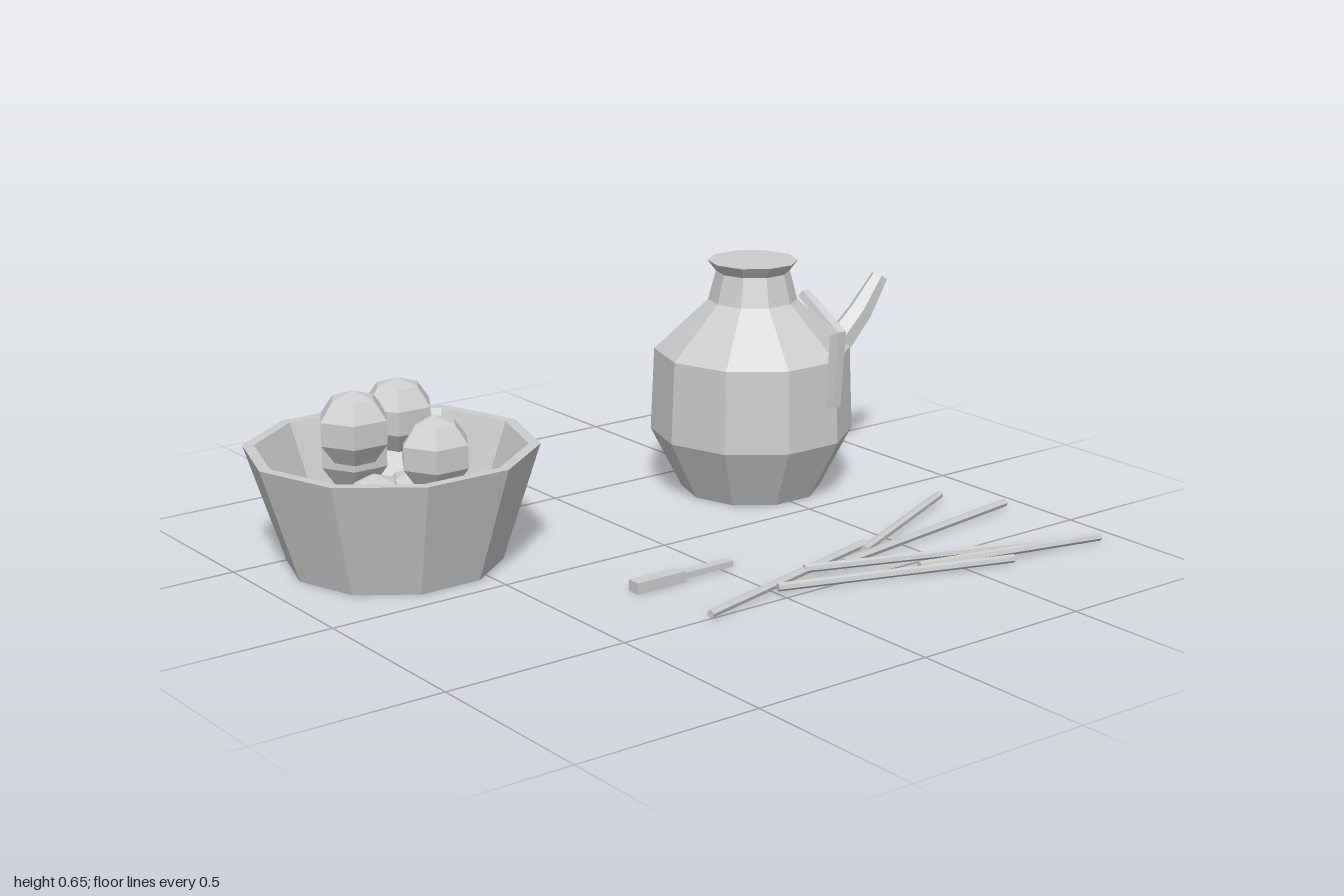
import * as THREE from 'three';

const stone = new THREE.MeshStandardMaterial({ color: 0xcccccc, flatShading: true });
stone.name = 'plain grey';

const vec = (p) => new THREE.Vector3(...p);

// Ten-sided turned shape with a corner on the x axis
function turned(profile) {
  return new THREE.LatheGeometry(profile.map(([r, y]) => new THREE.Vector2(r, y)), 10, Math.PI / 2);
}

// Tapered tube along a path lying in one plane; side is that plane's normal
function sweep(path, radii, side, sides) {
  const pts = path.map(vec), B = vec(side), pos = [], index = [];
  pts.forEach((p, i) => {
    const T = pts[Math.min(i + 1, pts.length - 1)].clone().sub(pts[Math.max(i - 1, 0)]).normalize();
    const N = B.clone().cross(T);
    for (let j = 0; j < sides; j++) {
      const a = (j / sides) * Math.PI * 2;
      const q = p.clone().addScaledVector(N, radii[i] * Math.cos(a)).addScaledVector(B, radii[i] * Math.sin(a));
      pos.push(q.x, q.y, q.z);
    }
  });
  const last = (pts.length - 1) * sides;
  for (let i = 0; i < last; i += sides) {
    for (let j = 0; j < sides; j++) {
      const k = (j + 1) % sides;
      index.push(i + j, i + k, i + sides + j, i + k, i + sides + k, i + sides + j);
    }
  }
  for (let j = 1; j < sides - 1; j++) {
    index.push(0, j + 1, j, last, last + j, last + j + 1);
  }
  const g = new THREE.BufferGeometry();
  g.setAttribute('position', new THREE.Float32BufferAttribute(pos, 3));
  g.setIndex(index);
  g.computeVertexNormals();
  return g;
}

export function createModel() {
  const model = new THREE.Group();
  model.name = 'tableware set';

  const add = (parent, name, geometry, position = [0, 0, 0]) => {
    const mesh = new THREE.Mesh(geometry, stone);
    mesh.name = name;
    mesh.position.set(...position);
    parent.add(mesh);
    return mesh;
  };
  const group = (name) => {
    const g = new THREE.Group();
    g.name = name;
    model.add(g);
    return g;
  };

  // Bowl with a thick wall and flat rim
  const bowl = group('fruitBowl');
  add(bowl, 'bowl', turned([[0, 0], [0.28, 0], [0.38, 0.31], [0.35, 0.31], [0.245, 0.04], [0, 0.04]]), [-0.62, 0, -0.335]);

  // Heap of fruit, from the bottom layer up
  const fruits = [
    [-0.67, 0.14, -0.34], [-0.56, 0.14, -0.32],
    [-0.68, 0.285, -0.42], [-0.53, 0.287, -0.27],
    [-0.725, 0.37, -0.34], [-0.58, 0.375, -0.365],
  ];
  fruits.forEach((p) => add(bowl, 'fruit', new THREE.SphereGeometry(0.1, 6, 5), p));

  // Jug body with shoulder, neck and flared closed lip
  const jug = group('jug');
  add(jug, 'jugBody', turned([
    [0, 0], [0.195, 0], [0.282, 0.17], [0.272, 0.4], [0.123, 0.54], [0.102, 0.62], [0.125, 0.65], [0, 0.65],
  ]), [0.51, 0, -0.267]);

  // Bent spout
  add(jug, 'spout', sweep(
    [[0.7, 0.245, -0.267], [0.775, 0.315, -0.267], [0.909, 0.445, -0.267], [0.98, 0.537, -0.267]],
    [0.048, 0.045, 0.036, 0.025], [0, 0, 1], 6));

  // Angled handle
  add(jug, 'handle', sweep(
    [[0.51, 0.595, -0.05], [0.51, 0.513, 0.092], [0.51, 0.31, 0.077]],
    [0.018, 0.023, 0.021], [1, 0, 0], 5));

  // Scattered sticks
  const sticks = group('sticks');
  [
    [[-0.243, 0.014, 0.503], [0.382, 0.024, 0.358]],
    [[0.36, 0.018, 0.383], [0.815, 0.026, 0.182]],
    [[0.26, 0.014, 0.417], [0.917, 0.022, 0.332]],
    [[0.126, 0.026, 0.417], [0.815, 0.018, 0.642]],
    [[0.0, 0.018, 0.465], [0.628, 0.014, 0.658]],
    [[0.377, 0.024, 0.572], [0.922, 0.018, 0.68]],
  ].forEach(([a, b]) => {
    const length = vec(a).distanceTo(vec(b));
    const stick = add(sticks, 'stick', new THREE.CylinderGeometry(0.011, 0.011, length, 6));
    stick.position.copy(vec(a)).add(vec(b)).multiplyScalar(0.5);
    stick.quaternion.setFromUnitVectors(new THREE.Vector3(0, 1, 0), vec(b).sub(vec(a)).normalize());
  });

  // Small knife: thick grip and narrow blade
  const knife = group('knife');
  add(knife, 'knifeGrip', new THREE.BoxGeometry(0.15, 0.03, 0.038), [-0.205, 0.015, 0.24]);
  add(knife, 'knifeBlade', new THREE.BoxGeometry(0.16, 0.016, 0.026), [-0.05, 0.014, 0.239]);

  return model;
}
